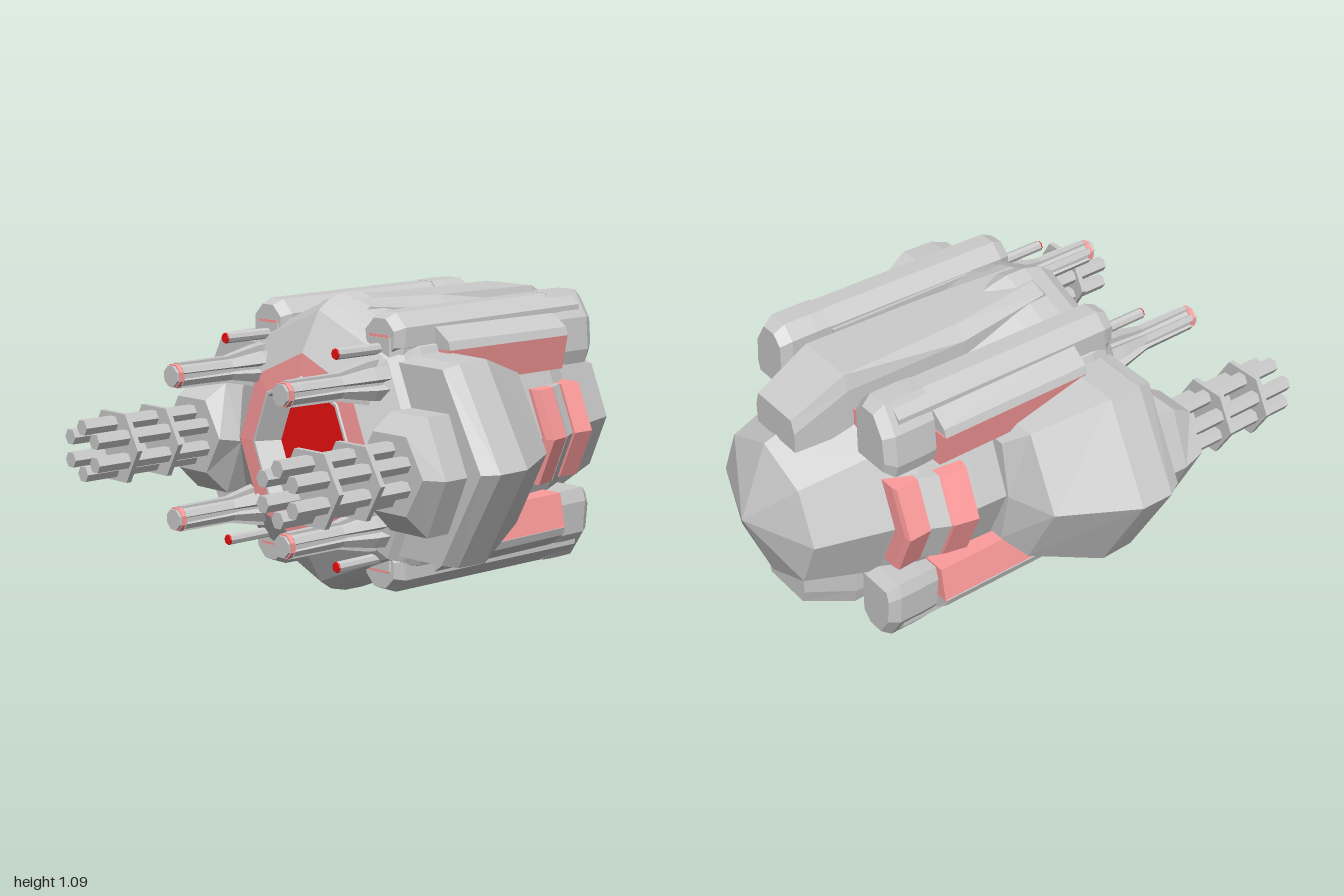
import * as THREE from 'three';

const material = (color) => new THREE.MeshStandardMaterial({ color, flatShading: true });
const grey = material(0xcccccc);
const pink = material(0xff9c9c);
const red = material(0xee1111);

// Loft through sections { z, p: [[x, y], ...] }, corners anticlockwise seen from +z
function loft(name, sections, mat = grey, capStart = true, capEnd = true) {
  const pos = [];
  const tri = (...pts) => pts.forEach((q) => pos.push(...q));
  const rings = sections.map((s) => s.p.map(([x, y]) => [x, y, s.z]));
  const n = rings[0].length;
  for (let k = 0; k < rings.length - 1; k++) {
    const a = rings[k], b = rings[k + 1];
    for (let i = 0; i < n; i++) {
      const j = (i + 1) % n;
      tri(a[i], a[j], b[j]);
      tri(a[i], b[j], b[i]);
    }
  }
  const first = rings[0], last = rings[rings.length - 1];
  for (let i = 1; i < n - 1; i++) {
    if (capStart) tri(first[0], first[i + 1], first[i]);
    if (capEnd) tri(last[0], last[i], last[i + 1]);
  }
  const geo = new THREE.BufferGeometry();
  geo.setAttribute('position', new THREE.Float32BufferAttribute(pos, 3));
  geo.computeVertexNormals();
  const mesh = new THREE.Mesh(geo, mat);
  mesh.name = name;
  return mesh;
}

// Regular polygon section, optionally stretched in y
function ngon(n, z, r, cx = 0, cy = 0, turn = 0, ry = r) {
  const p = [];
  for (let i = 0; i < n; i++) {
    const a = turn + (i / n) * Math.PI * 2;
    p.push([cx + Math.cos(a) * r, cy + Math.sin(a) * ry]);
  }
  return { z, p };
}

// Faceted solid of revolution about z from [z, radius] pairs
const turned = (name, n, profile, mat, cx = 0, cy = 0, turn = 0) =>
  loft(name, profile.map(([z, r]) => ngon(n, z, r, cx, cy, turn)), mat);

// Straight prism between two z values
const prism = (name, z0, z1, p, mat) => loft(name, [{ z: z0, p }, { z: z1, p }], mat);

function hull() {
  const g = new THREE.Group();
  g.name = 'hull';
  const oct = (list) => list.map(([z, r]) => ngon(8, z, r));
  g.add(loft('hullShell', oct([[-1, 0.001], [-0.89, 0.28], [-0.62, 0.36], [-0.5, 0.42], [-0.31, 0.445],
    [-0.2, 0.45], [-0.02, 0.5], [0.08, 0.53], [0.15, 0.545], [0.23, 0.543], [0.3, 0.525], [0.35, 0.49],
    [0.43, 0.345]]), grey, true, false));
  g.add(loft('frontRing', oct([[0.43, 0.345], [0.435, 0.265]]), pink, false, false));
  g.add(loft('lensRim', oct([[0.435, 0.265], [0.44, 0.26], [0.44, 0.25], [0.35, 0.205]]), grey, false, false));
  g.add(loft('lens', oct([[0.34, 0.207], [0.352, 0.207]]), red));
  return g;
}

// Angled bands wrapping one flank
function flank() {
  const g = new THREE.Group();
  g.name = 'flank';
  const arc = (z, r) =>
    ({ z, p: [[0.25, -0.175], [r - 0.072, -0.175], [r, 0], [r - 0.072, 0.175], [0.25, 0.175]] });
  g.add(loft('rearBand', [arc(-0.615, 0.42), arc(-0.61, 0.445), arc(-0.52, 0.44)], pink));
  g.add(loft('flankPlate', [arc(-0.52, 0.43), arc(-0.45, 0.465)]));
  g.add(loft('flankBand', [arc(-0.45, 0.46), arc(-0.44, 0.47), arc(-0.35, 0.49), arc(-0.34, 0.455)], pink));
  return g;
}

// Ridge ending in two prongs either side of the hull crown
function fin() {
  const g = new THREE.Group();
  g.name = 'fin';
  const sec = (z, top, bottom, h, low, drop) =>
    ({ z, p: [[-bottom, low], [bottom, low], [bottom, h - drop], [top, h], [-top, h], [-bottom, h - drop]] });
  g.add(loft('finRidge', [sec(-0.84, 0.1, 0.115, 0.41, 0.285, 0.05), sec(-0.63, 0.115, 0.13, 0.515, 0.285, 0.06),
    sec(-0.15, 0.1, 0.145, 0.515, 0.3, 0.05), sec(0.22, 0.06, 0.125, 0.523, 0.35, 0.022),
    sec(0.25, 0.055, 0.115, 0.505, 0.35, 0.022)]));
  for (const s of [-1, 1])
    g.add(prism('finTrim', -0.61, -0.55, [[-0.05, 0.3], [0.05, 0.3], [0.05, 0.37], [-0.05, 0.39]]
      .map(([x, y]) => [s * 0.16 + x, y]), pink));
  return g;
}

// Long pod with its side panel, rear block and twin barrels
function gunPod() {
  const g = new THREE.Group();
  g.name = 'gunPod';
  const t = Math.PI / 8;
  g.add(loft('podTube', [ngon(8, -0.6, 0.09, 0.295, 0.432, t), ngon(8, 0.29, 0.09, 0.293, 0.42, t),
    ngon(8, 0.335, 0.075, 0.293, 0.415, t)]));
  // Shoulder overhanging the inset panel
  g.add(prism('shoulder', -0.46, 0.15, [[0.2, 0.37], [0.45, 0.37], [0.44, 0.4], [0.365, 0.455], [0.2, 0.455]]));
  g.add(prism('sidePanel', -0.465, 0.15, [[0.2, 0.245], [0.42, 0.245], [0.446, 0.375], [0.2, 0.375]], pink));
  const block = (z, s) => ({
    z,
    p: [[0.21, 0.25], [0.39, 0.25], [0.405, 0.3], [0.395, 0.42], [0.335, 0.517], [0.255, 0.517], [0.208, 0.47]]
      .map(([x, y]) => [0.3 + (x - 0.3) * s, 0.385 + (y - 0.385) * s]),
  });
  g.add(loft('rearBlock', [block(-0.665, 0.78), block(-0.625, 1), block(-0.52, 1), block(-0.465, 0.98)]));
  const housing = (z, w) => ({ z, p: [[0.29 - w, 0.32], [0.29 + w, 0.32], [0.29 + w, 0.42], [0.29 - w, 0.42]] });
  g.add(loft('housing', [housing(0, 0.085), housing(0.3, 0.085), housing(0.34, 0.055)]));
  g.add(prism('housingTrim', 0.3, 0.338, [[0.235, 0.405], [0.345, 0.405], [0.335, 0.43], [0.245, 0.43]], pink));
  // Thin upper barrel
  g.add(turned('thinBarrel', 8, [[0.3, 0.02], [0.535, 0.02]], grey, 0.29, 0.38));
  g.add(turned('thinBarrelTip', 8, [[0.535, 0.02], [0.54, 0.018]], red, 0.29, 0.38));
  // Cannon with fins running its full length
  g.add(turned('cannon', 8, [[0.3, 0.065], [0.4, 0.058], [0.52, 0.04], [0.76, 0.04]], grey, 0.29, 0.268, t));
  g.add(turned('cannonTip', 8, [[0.755, 0.044], [0.775, 0.044]], pink, 0.29, 0.268, t));
  g.add(turned('cannonMuzzle', 8, [[0.775, 0.039], [0.785, 0.039]], grey, 0.29, 0.268, t));
  const blade = (z, r, w) => ({ z, p: [[0, -w], [r, -w], [r, w], [0, w]] });
  for (let i = 0; i < 6; i++) {
    const f = loft('cannonFin', [blade(0.33, 0.082, 0.026), blade(0.41, 0.074, 0.022), blade(0.54, 0.047, 0.013),
      blade(0.76, 0.045, 0.011)]);
    f.rotation.z = (i / 6) * Math.PI * 2 + Math.PI / 6;
    f.position.set(0.29, 0.268, 0);
    g.add(f);
  }
  return g;
}

// Side wing with its rotary gun
function wing() {
  const g = new THREE.Group();
  g.name = 'wing';
  const sec = (z, x0, x1, y1, y2) => ({ z, p: [[0.28, -y2], [x1, -y1], [x0, 0], [x1, y1], [0.28, y2]] });
  g.add(loft('wingShell', [sec(-0.2, 0.46, 0.42, 0.21, 0.21), sec(-0.14, 0.64, 0.5, 0.27, 0.275),
    sec(0.13, 0.795, 0.6, 0.355, 0.365), sec(0.26, 0.795, 0.6, 0.35, 0.36), sec(0.32, 0.76, 0.58, 0.335, 0.34)]));
  const cx = 0.523;
  g.add(loft('gunMount', [ngon(6, 0.28, 0.175, cx, -0.015, 0, 0.236), ngon(6, 0.42, 0.175, cx, -0.015, 0, 0.236),
    ngon(6, 0.51, 0.158, cx, 0, 0, 0.155)]));
  for (let i = 0; i < 6; i++) {
    const a = (i / 6) * Math.PI * 2 + Math.PI / 6;
    g.add(turned('rotaryBarrel', 6, [[0.5, 0.03], [1, 0.03]], grey, cx + Math.cos(a) * 0.083, Math.sin(a) * 0.083));
  }
  for (const z of [0.675, 0.855])
    g.add(turned('barrelClamp', 6, [[z - 0.01, 0.142], [z + 0.01, 0.142]], grey, cx, 0));
  return g;
}

export function createModel() {
  const model = new THREE.Group();
  model.name = 'gunship';
  const body = new THREE.Group();
  body.name = 'body';
  body.position.y = 0.545;
  model.add(body);
  body.add(hull());
  // Mirrored copies; the lower pods and fin sit a little closer to the hull
  const place = (part, sx, sy) => {
    part.scale.set(sx, sy, 1);
    part.position.y = sy < 0 ? 0.025 : 0;
    body.add(part);
  };
  for (const s of [1, -1]) {
    place(fin(), 1, s);
    place(wing(), s, 1);
    place(flank(), s, 1);
    for (const v of [1, -1]) place(gunPod(), s, v);
  }
  return model;
}
